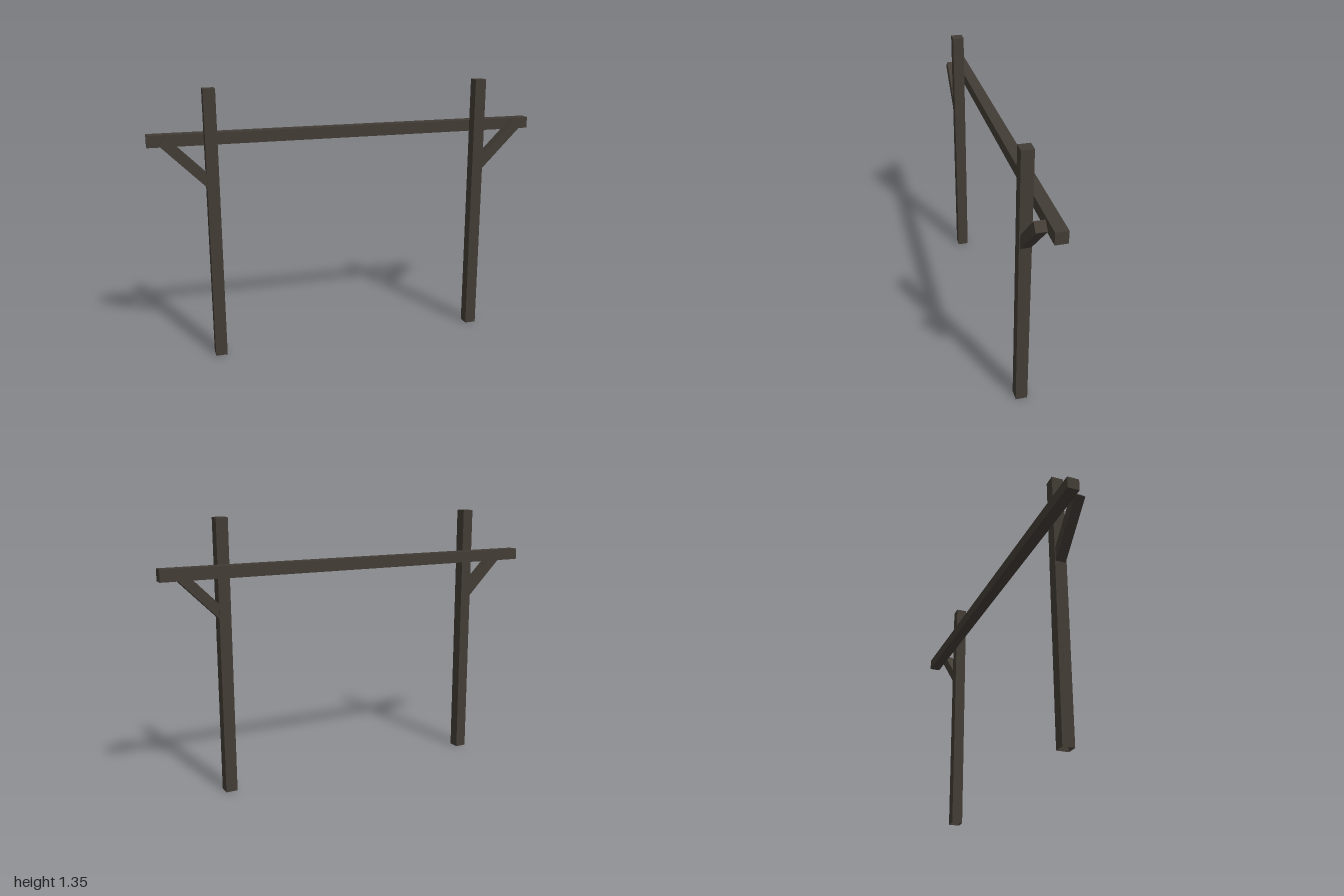
import * as THREE from 'three';

export function createModel() {
  const model = new THREE.Group();
  model.name = 'timberFrame';

  const darkWood = new THREE.MeshStandardMaterial({ color: 0x423c35, side: THREE.DoubleSide });
  darkWood.name = 'darkWood';

  const addBeam = (name, size, position, tilt = 0, openBottom = false) => {
    const geometry = new THREE.BoxGeometry(...size);
    if (openBottom) {
      // Leave out the six indices of the underside
      const index = Array.from(geometry.index.array);
      index.splice(18, 6);
      geometry.setIndex(index);
      geometry.clearGroups();
    }
    const mesh = new THREE.Mesh(geometry, darkWood);
    mesh.name = name;
    mesh.position.set(...position);
    mesh.rotation.z = tilt;
    model.add(mesh);
  };

  // Horizontal rail behind the posts
  addBeam('crossRail', [2, 0.058, 0.058], [0, 1.105, -0.03]);

  // Posts and their outward diagonal braces, mirrored about x = -0.01
  const middle = -0.01;
  const braceLength = 0.32;
  const topX = 0.921, topY = 1.112; // centre of the brace's upper end
  const half = (braceLength / 2) * Math.SQRT1_2;
  for (const [side, s] of [['left', 1], ['right', -1]]) {
    addBeam(side + 'Post', [0.058, 1.35, 0.058], [middle + s * 0.695, 0.675, 0.03], 0, true);
    addBeam(side + 'Brace', [braceLength, 0.05, 0.05],
      [middle + s * (topX - half), topY - half, 0.029], s * Math.PI / 4);
  }

  return model;
}
